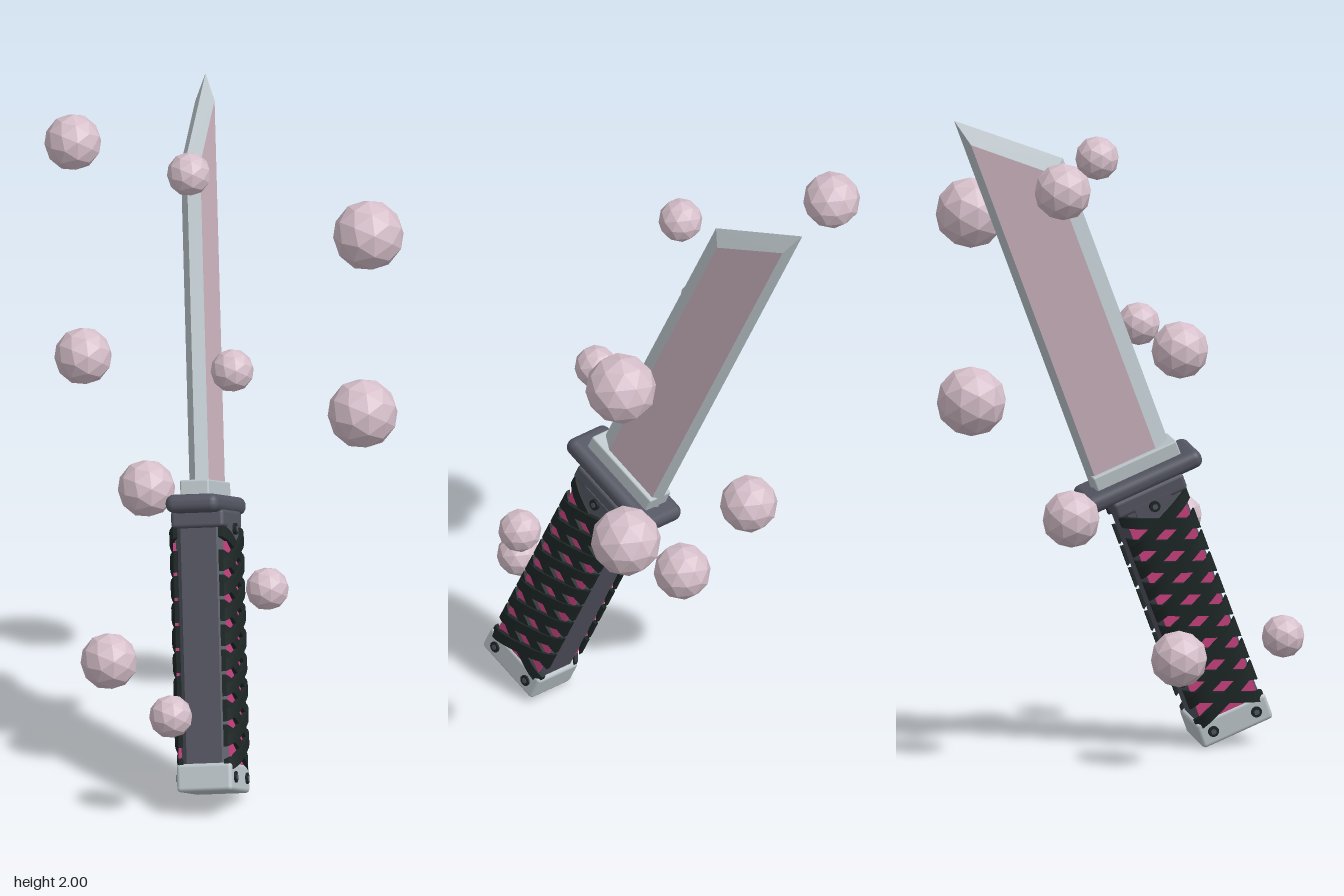
import * as THREE from 'three';
import { RoundedBoxGeometry } from 'three/addons/geometries/RoundedBoxGeometry.js';

function material(name, color, extra = {}) {
  const m = new THREE.MeshStandardMaterial({ color, ...extra });
  m.name = name;
  return m;
}

export function createModel() {
  const steel = material('steel', 0xbcc6cb);
  const rose = material('pale rose', 0xccb3bf);
  const orbRose = material('orb rose', 0xd6bfca, { flatShading: true });
  const iron = material('dark iron', 0x535561);
  const cord = material('black cord', 0x1d2626);
  const pink = material('hot pink', 0xc8427f);

  const model = new THREE.Group();
  model.name = 'knifeWithOrbs';

  // Knife space: x across the blade towards the spine, y along it, z out of the flat
  const knife = new THREE.Group();
  knife.name = 'knife';
  const along = new THREE.Vector3(0.24, 0.922, -0.304).normalize();
  const across = new THREE.Vector3(0.78, -0.37, -0.506);
  across.addScaledVector(along, -across.dot(along)).normalize();
  const out = new THREE.Vector3().crossVectors(across, along);
  knife.quaternion.setFromRotationMatrix(new THREE.Matrix4().makeBasis(across, along, out));
  knife.position.set(-0.117, 0.85, 0.163);
  model.add(knife);

  function add(parent, name, geometry, mat, x = 0, y = 0, z = 0) {
    const mesh = new THREE.Mesh(geometry, mat);
    mesh.name = name;
    mesh.position.set(x, y, z);
    parent.add(mesh);
    return mesh;
  }

  // Blade: an outline on the centre plane and a smaller raised flat on each side
  const outline = [[-0.125, 0.03], [-0.125, 1.048], [0.147, 1.307], [0.147, 0.03]];
  const flat = [[-0.075, 0.03], [-0.075, 1.026], [0.13, 1.224], [0.13, 0.03]];
  const half = 0.03;
  function quads(list, side) {
    const pos = [];
    for (const [a, b, c, d] of list) {
      const order = side > 0 ? [a, c, b, a, d, c] : [a, b, c, a, c, d];
      for (const p of order) pos.push(p[0], p[1], p[2]);
    }
    const g = new THREE.BufferGeometry();
    g.setAttribute('position', new THREE.Float32BufferAttribute(pos, 3));
    g.computeVertexNormals();
    return g;
  }
  for (const side of [1, -1]) {
    const outer = outline.map(([x, y]) => [x, y, 0]);
    const inner = flat.map(([x, y]) => [x, y, side * half]);
    const bevels = [0, 1, 2].map(i => [outer[i], outer[i + 1], inner[i + 1], inner[i]]);
    add(knife, 'bladeBevel', quads(bevels, side), steel);
    add(knife, 'bladeFlat', quads([inner], side), rose);
  }

  // Blade collar, guard and the ring below it
  add(knife, 'bladeCollar', new RoundedBoxGeometry(0.28, 0.06, 0.09, 2, 0.006), steel, 0, 0.042);
  add(knife, 'guard', new RoundedBoxGeometry(0.385, 0.055, 0.165, 3, 0.025), iron);
  add(knife, 'gripRing', new RoundedBoxGeometry(0.235, 0.055, 0.165, 2, 0.012), iron, 0, -0.045);

  // Grip core with chamfered corners
  const hx = 0.105, hz = 0.075, c = 0.02;
  const section = new THREE.Shape([
    [hx, hz - c], [hx - c, hz], [c - hx, hz], [-hx, hz - c],
    [-hx, c - hz], [c - hx, -hz], [hx - c, -hz], [hx, c - hz],
  ].map(([x, y]) => new THREE.Vector2(x, y)));
  const core = new THREE.ExtrudeGeometry(section, { depth: 0.78, bevelEnabled: false });
  core.rotateX(-Math.PI / 2);
  add(knife, 'gripCore', core, iron, 0, -0.8);

  // Pommel
  add(knife, 'pommel', new RoundedBoxGeometry(0.235, 0.085, 0.172, 2, 0.012), steel, 0, -0.825);

  // A cord strip that slants across one grip face and bulges in the middle
  function cordStrip(slope, lift) {
    const g = new THREE.BoxGeometry(0.226, 0.037, 0.014, 12, 1, 1);
    const p = g.attributes.position;
    for (let i = 0; i < p.count; i++) {
      const x = p.getX(i), t = x / 0.113;
      p.setY(i, p.getY(i) + slope * x);
      p.setZ(i, p.getZ(i) + (0.018 + lift) * (1 - t ** 4) - 0.006);
    }
    g.computeVertexNormals();
    return g;
  }
  function bolt(parent, x, y, z) {
    const ring = add(parent, 'bolt', new THREE.CylinderGeometry(0.017, 0.017, 0.014, 12), cord, x, y, z);
    ring.rotation.x = Math.PI / 2;
    const head = add(parent, 'boltHead', new THREE.CylinderGeometry(0.009, 0.009, 0.006, 6), iron, x, y, z + 0.006);
    head.rotation.x = Math.PI / 2;
  }

  // Both wrapped faces
  for (const turn of [0, Math.PI]) {
    const face = new THREE.Group();
    face.name = 'gripFace';
    face.rotation.y = turn;
    knife.add(face);
    add(face, 'gripPanel', new THREE.BoxGeometry(0.19, 0.67, 0.008), pink, 0, -0.45, hz + 0.003);
    add(face, 'boltPlate', new THREE.BoxGeometry(0.12, 0.07, 0.012), iron, 0, -0.09, hz + 0.004);
    for (let i = 0; i < 9; i++) {
      const y = -0.135 - i * 0.0755;
      add(face, 'cordUnder', cordStrip(-0.46, 0), cord, 0, y, hz + 0.001);
      add(face, 'cordOver', cordStrip(0.46, 0.007), cord, 0, y, hz + 0.001);
    }
    bolt(face, 0, -0.075, 0.088);
    for (const x of [-0.072, 0.072]) bolt(face, x, -0.825, 0.085);
  }

  // Floating faceted orbs: x, y, z, radius
  const orbs = [
    [-0.085, 1.835, -0.467, 0.087], [-0.025, 0.78, -0.203, 0.088],
    [-0.347, 1.305, -0.133, 0.088], [-0.317, 0.34, -0.05, 0.087],
    [-0.04, 1.85, 0.003, 0.067], [-0.09, 1.3, 0.252, 0.066],
    [-0.493, 0.335, 0.42, 0.066], [-0.15, 0.675, 0.475, 0.066],
    [0.44, 1.03, 0.253, 0.107], [0.448, 1.605, 0.27, 0.108],
  ];
  for (const [x, y, z, r] of orbs) add(model, 'orb', new THREE.IcosahedronGeometry(r, 1), orbRose, x, y, z);

  return model;
}
